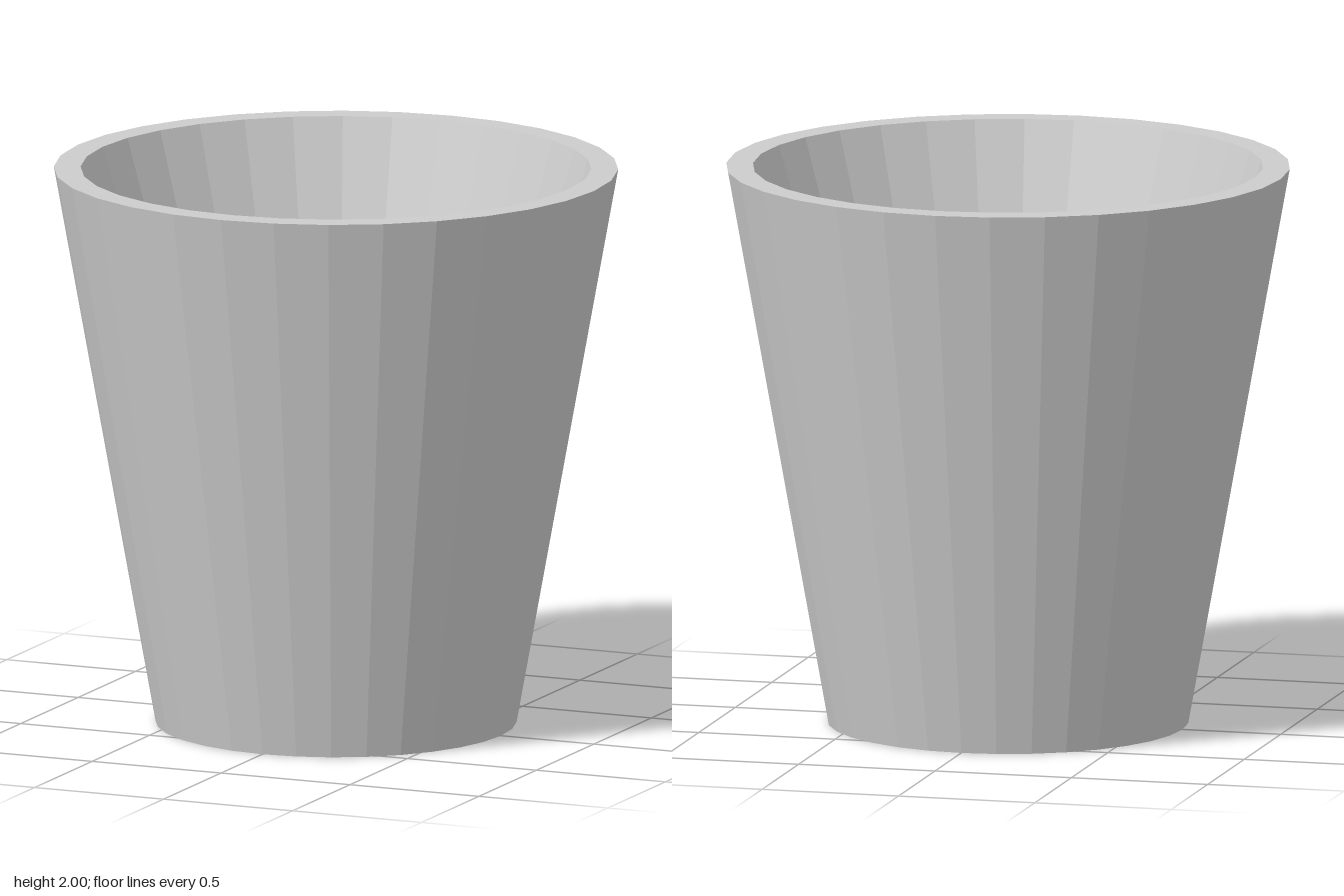
import * as THREE from 'three';

const SIDES = 32;

// Revolves a profile of [radius, height] points around the y axis.
function ring(name, profile, material) {
  const points = profile.map(([r, y]) => new THREE.Vector2(r, y));
  const mesh = new THREE.Mesh(new THREE.LatheGeometry(points, SIDES), material);
  mesh.name = name;
  return mesh;
}

// Flat circular face at a given height, facing up (1) or down (-1).
function disc(name, radius, y, facing, material) {
  const mesh = new THREE.Mesh(new THREE.CircleGeometry(radius, SIDES), material);
  mesh.rotation.x = -facing * Math.PI / 2;
  mesh.position.y = y;
  mesh.name = name;
  return mesh;
}

export function createModel() {
  const model = new THREE.Group();
  model.name = 'plantPot';
  const material = new THREE.MeshStandardMaterial({ color: 0xcccccc, flatShading: true });

  // Tapered outer wall, flat rim and steeper inner wall
  model.add(ring('potWall', [[0.64, 0], [1, 2], [0.905, 2], [0.757, 1.54]], material));

  // Fill surface inside the pot, and the underside
  model.add(disc('soilSurface', 0.757, 1.54, 1, material));
  model.add(disc('base', 0.64, 0, -1, material));

  return model;
}
